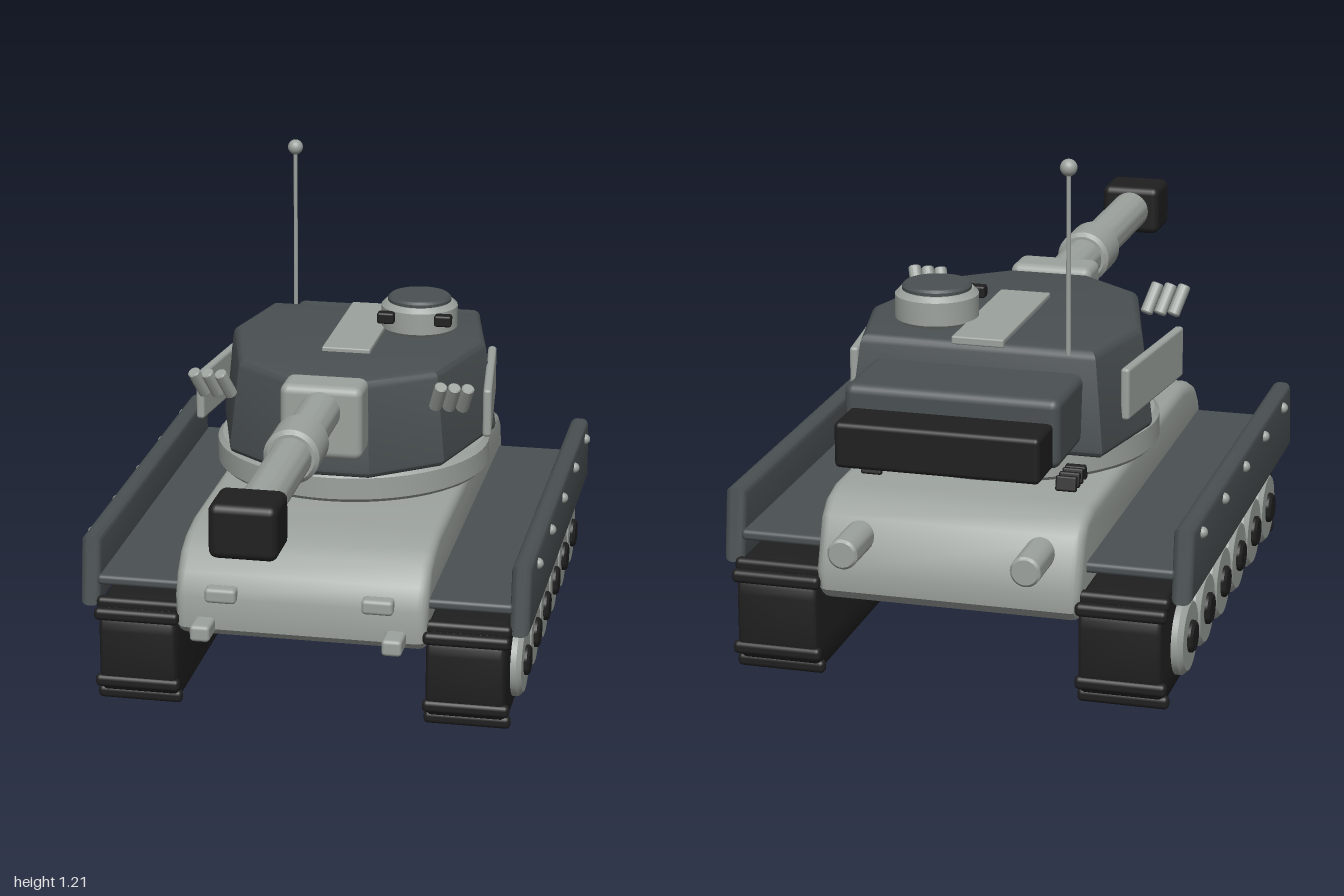
import * as THREE from 'three';
import { toCreasedNormals } from 'three/addons/utils/BufferGeometryUtils.js';
import { RoundedBoxGeometry } from 'three/addons/geometries/RoundedBoxGeometry.js';

export function createModel() {
  const tank = new THREE.Group();
  tank.name = 'tank';
  const material = (name, color) => Object.assign(new THREE.MeshStandardMaterial({ color }), { name });
  const light = material('light grey', 0x9ca29d);
  const dark = material('dark grey', 0x4a5052);
  const black = material('black', 0x1f1f1f);

  const add = (name, geo, mat, x = 0, y = 0, z = 0) => {
    const mesh = new THREE.Mesh(geo, mat);
    mesh.name = name;
    mesh.position.set(x, y, z);
    tank.add(mesh);
    return mesh;
  };
  const box = (name, mat, w, h, d, x, y, z, r = 0.01) =>
    add(name, new RoundedBoxGeometry(w, h, d, 3, r), mat, x, y, z);
  // Cylinder with softly chamfered rims, standing on the y axis
  const drum = (r, h, c = 0.008, n = 40) => toCreasedNormals(new THREE.LatheGeometry([
    [0, -h / 2], [r - c, -h / 2], [r, -h / 2 + c], [r, h / 2 - c], [r - c, h / 2], [0, h / 2],
  ].map(([a, b]) => new THREE.Vector2(a, b)), n), 0.6);
  const slab = (points, depth, bevel) => {
    const shape = new THREE.Shape(points.map(([a, b]) => new THREE.Vector2(a, b)));
    const geo = new THREE.ExtrudeGeometry(shape, {
      depth: depth - 2 * bevel, bevelThickness: bevel, bevelSize: bevel, bevelOffset: -bevel, bevelSegments: 4,
    });
    return geo.translate(0, 0, -depth / 2 + bevel);
  };
  // Side profile given as [z, y], extruded across x
  const sideSlab = (points, width, bevel) =>
    toCreasedNormals(slab(points, width, bevel).rotateY(-Math.PI / 2), 0.6);

  // Hull
  add('hull', sideSlab([
    [0.35, 0.195], [0.372, 0.215], [0.378, 0.3], [0.355, 0.355], [0.315, 0.4], [0.26, 0.425], [0.17, 0.44],
    [-0.76, 0.44], [-0.82, 0.425], [-0.86, 0.39], [-0.9, 0.27], [-0.895, 0.22], [-0.87, 0.195],
  ], 0.63, 0.025), light);

  // Running gear, mirrored
  const roundedProfile = (z0, z1, y0, y1, r) => {
    const pts = [];
    [[z1 - r, y1 - r], [z0 + r, y1 - r], [z0 + r, y0 + r], [z1 - r, y0 + r]].forEach(([cz, cy], q) => {
      for (let i = 0; i <= 6; i++) {
        const a = (q + i / 6) * Math.PI / 2;
        pts.push([cz + r * Math.cos(a), cy + r * Math.sin(a)]);
      }
    });
    return pts;
  };
  const trackGeo = sideSlab(roundedProfile(-0.907, 0.383, 0.008, 0.268, 0.075), 0.195, 0.012);
  const skirtGeo = sideSlab([[0.352, 0.245], [0.33, 0.42], [-0.82, 0.42], [-0.842, 0.245]], 0.05, 0.018);
  const wheelGeo = drum(0.092, 0.04, 0.012).rotateZ(Math.PI / 2);
  const hubGeo = drum(0.038, 0.03, 0.006, 24).rotateZ(Math.PI / 2);
  const boltGeo = new THREE.SphereGeometry(0.014, 16, 12);
  for (const s of [-1, 1]) {
    add('track', trackGeo, black, s * 0.41);
    // Cleats at the four corners of the track
    for (const [dz, y] of [[0.608, 0.018], [0.635, 0.058], [0.635, 0.235], [0.608, 0.255]])
      for (const e of [-1, 1])
        box('trackCleat', black, 0.215, 0.032, 0.028, s * 0.412, y, -0.262 + e * dz, 0.012);
    for (let i = 0; i < 6; i++) {
      const z = 0.195 - i * 0.1825;
      add('roadWheel', wheelGeo, light, s * 0.514, 0.123, z);
      add('wheelHub', hubGeo, black, s * 0.532, 0.123, z);
    }
    box('fender', dark, 0.22, 0.026, 1.18, s * 0.41, 0.311, -0.245);
    add('sideSkirt', skirtGeo, dark, s * 0.537);
    for (let i = 0; i < 5; i++) add('skirtBolt', boltGeo, light, s * 0.562, 0.388, 0.215 - i * 0.239);

    // Hull fittings
    box('headlamp', light, 0.078, 0.038, 0.04, s * 0.195, 0.312, 0.38);
    box('towHook', light, 0.05, 0.042, 0.09, s * 0.238, 0.226, 0.395);
    add('exhaust', drum(0.036, 0.2, 0.006, 24).rotateX(Math.PI / 2), light, s * 0.215, 0.35, -0.9);

    // Turret side fittings
    const plate = box('turretSidePlate', light, 0.022, 0.126, 0.385, s * 0.353, 0.637, -0.355, 0.008);
    plate.rotation.y = s * 0.115;
    const aim = new THREE.Vector3(s * -0.2, 0, 0).set(s * 0.25, 0.8, 0.45).normalize();
    for (let i = 0; i < 3; i++) {
      const tube = add('smokeLauncher', drum(0.016, 0.08, 0.003, 16), light, s * (0.272 + i * 0.034), 0.722, -0.02);
      tube.quaternion.setFromUnitVectors(new THREE.Vector3(0, 1, 0), aim);
    }
    for (let i = 0; i < 4; i++) {
      const link = box('spareLink', black, 0.05, 0.036, 0.017, s * 0.235, 0.465, -0.62 - i * 0.03, 0.005);
      link.rotation.x = i < 1 ? -0.35 : 0.25;
    }
  }

  // Turret ring and tapered turret body
  add('turretRing', drum(0.355, 0.08, 0.012, 64), light, 0, 0.478, -0.325);
  const half = [[0.11, 0.048], [0.28, -0.085], [0.366, -0.4], [0.31, -0.665]];
  const plan = [...half, ...half.map(([x, z]) => [-x, z]).reverse()].map(([x, z]) => [x, -z]);
  const turretGeo = slab(plan, 0.25, 0.022).rotateX(-Math.PI / 2);
  const p = turretGeo.attributes.position;
  for (let i = 0; i < p.count; i++) {
    const k = 1 - 0.09 * (p.getY(i) / 0.25 + 0.5);
    p.setX(i, p.getX(i) * k);
    p.setZ(i, (p.getZ(i) + 0.31) * k - 0.31);
  }
  turretGeo.computeVertexNormals();
  add('turret', toCreasedNormals(turretGeo, 0.4), dark, 0, 0.638, 0);
  box('turretBustle', dark, 0.51, 0.165, 0.25, 0, 0.626, -0.728, 0.022);
  box('stowageBin', black, 0.48, 0.108, 0.15, 0, 0.6, -0.893, 0.012);
  box('roofStripe', light, 0.126, 0.02, 0.42, 0, 0.764, -0.422, 0.004);

  // Gun
  const alongZ = (r, len, c) => drum(r, len, c).rotateX(Math.PI / 2);
  box('mantlet', light, 0.208, 0.19, 0.11, 0, 0.68, 0.068, 0.022);
  add('barrel', alongZ(0.051, 0.82, 0.004), light, 0, 0.711, 0.48);
  add('barrelSleeve', alongZ(0.068, 0.135, 0.01), light, 0, 0.711, 0.408);
  box('muzzleBrake', black, 0.158, 0.13, 0.135, 0, 0.711, 0.9325, 0.02);

  // Cupola with periscopes
  add('cupola', drum(0.1, 0.08, 0.012), light, 0.148, 0.8, -0.465);
  add('cupolaLid', drum(0.083, 0.025, 0.006), dark, 0.148, 0.841, -0.465);
  for (const s of [-1, 1]) box('periscope', black, 0.045, 0.03, 0.03, 0.15 + s * 0.075, 0.813, -0.376, 0.006);

  // Antenna
  add('antenna', new THREE.CylinderGeometry(0.005, 0.006, 0.44, 12), light, -0.218, 0.97, -0.63);
  add('antennaTip', new THREE.SphereGeometry(0.02, 20, 14), light, -0.218, 1.193, -0.63);

  return tank;
}
